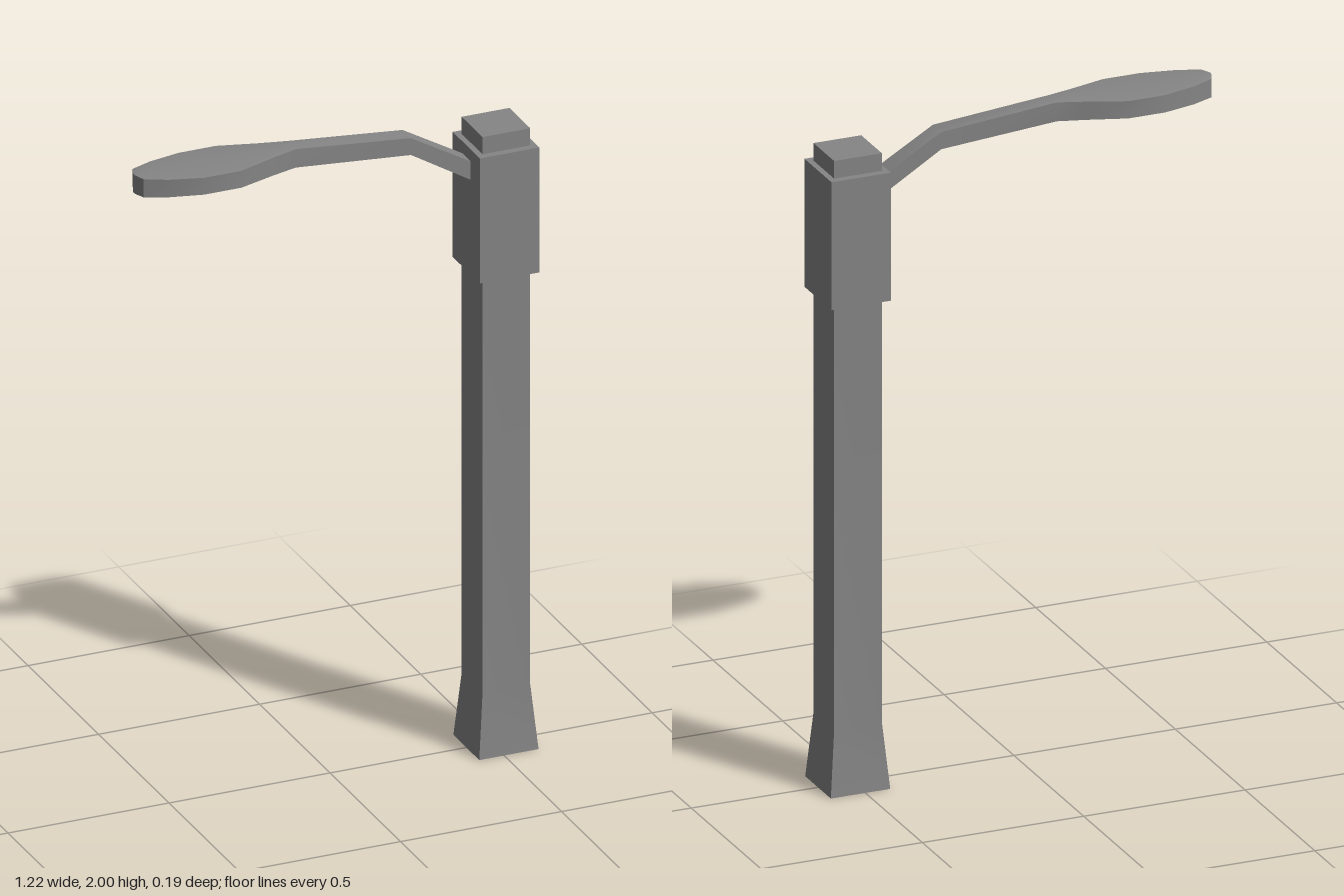
import * as THREE from 'three';
import { toCreasedNormals } from 'three/addons/utils/BufferGeometryUtils.js';

const POLE_X = 0.515;
const CREASE = 0.6;
const material = new THREE.MeshStandardMaterial({ color: 0x858585, side: THREE.DoubleSide });

function addMesh(parent, name, geometry, x = 0, y = 0) {
  const mesh = new THREE.Mesh(geometry, material);
  mesh.name = name;
  mesh.position.set(x, y, 0);
  parent.add(mesh);
}

// Open square tube from a profile of [half width, y] points
function squareTube(profile) {
  const points = profile.map(([half, y]) => new THREE.Vector2(half * Math.SQRT2, y));
  return toCreasedNormals(new THREE.LatheGeometry(points, 4, Math.PI / 4), CREASE);
}

// Five-sided sections [x, bottom y, top y, half width, crown height], skinned and capped
function loftSections(sections) {
  const positions = [], index = [], n = 5;
  for (const [x, bottom, top, w, crown] of sections) {
    positions.push(x, bottom, -w, x, bottom, w, x, top - crown, w, x, top, 0, x, top - crown, -w);
  }
  for (let s = 0; s < sections.length - 1; s++) {
    for (let i = 0; i < n; i++) {
      const a = s * n + i, b = s * n + (i + 1) % n;
      index.push(a, b, b + n, a, b + n, a + n);
    }
  }
  const last = (sections.length - 1) * n;
  for (let i = 1; i < n - 1; i++) {
    index.push(0, i + 1, i, last, last + i, last + i + 1);
  }
  const g = new THREE.BufferGeometry();
  g.setAttribute('position', new THREE.Float32BufferAttribute(positions, 3));
  g.setIndex(index);
  return toCreasedNormals(g, CREASE);
}

export function createModel() {
  const model = new THREE.Group();
  model.name = 'streetLamp';

  // Post with a flared, open foot
  addMesh(model, 'post', squareTube([[0.092, 0], [0.074, 0.2], [0.074, 1.6]]), POLE_X);

  // Collar around the post head, and the cap above it
  addMesh(model, 'collar', new THREE.BoxGeometry(0.184, 0.393, 0.194), POLE_X, 1.6975);
  addMesh(model, 'cap', new THREE.BoxGeometry(0.148, 0.06, 0.148), POLE_X, 1.918);

  // Leaf-shaped lamp head with a faintly crowned top, running into the bent arm
  addMesh(model, 'lampHeadAndArm', loftSections([
    [-0.609, 1.939, 1.998, 0.006, 0.001],
    [-0.596, 1.939, 2.0, 0.038, 0.004],
    [-0.53, 1.939, 2.0, 0.067, 0.006],
    [-0.43, 1.939, 2.0, 0.091, 0.008],
    [-0.315, 1.939, 2.0, 0.091, 0.008],
    [-0.2, 1.939, 2.0, 0.053, 0.005],
    [-0.12, 1.939, 2.0, 0.03, 0.003],
    [0.238, 1.911, 1.964, 0.03, 0],
    [0.425, 1.797, 1.855, 0.03, 0],
  ]));

  return model;
}
